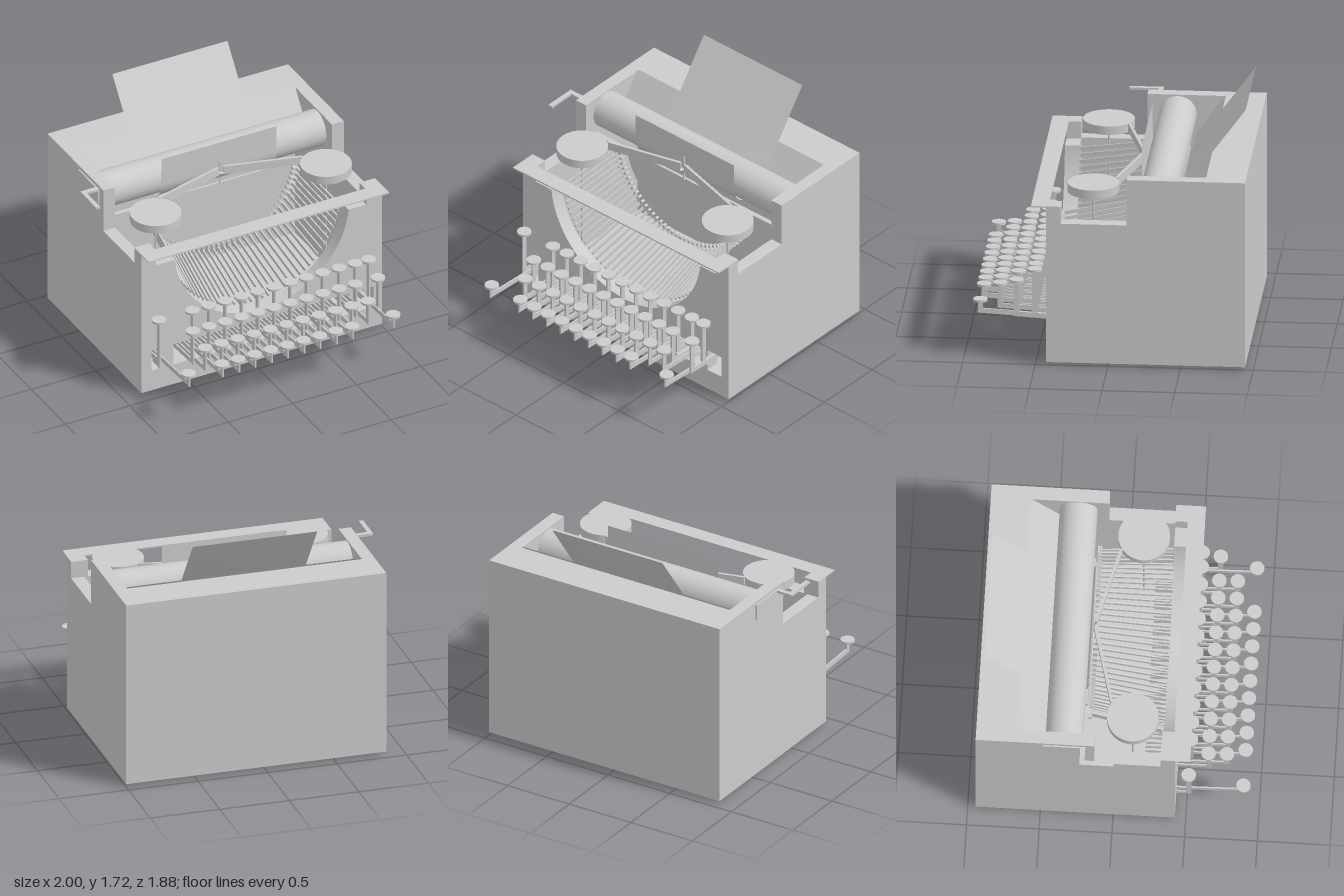
import * as THREE from 'three';

const grey = new THREE.MeshStandardMaterial({ color: 0xcccccc, side: THREE.DoubleSide });
const CX = 0.065; // middle of the body
const X0 = -0.87, X1 = 1.0; // outer side faces
const IN0 = -0.78, IN1 = 0.907; // inner side faces

export function createModel() {
  const root = new THREE.Group();
  root.name = 'typewriter';

  const add = (name, geo, parent = root) => {
    const m = new THREE.Mesh(geo, grey);
    m.name = name;
    parent.add(m);
    return m;
  };
  const group = (name) => {
    const g = new THREE.Group();
    g.name = name;
    root.add(g);
    return g;
  };
  // box given by its limits
  const box = (name, x0, x1, y0, y1, z0, z1, parent) => {
    const g = new THREE.BoxGeometry(x1 - x0, y1 - y0, z1 - z0);
    g.translate((x0 + x1) / 2, (y0 + y1) / 2, (z0 + z1) / 2);
    return add(name, g, parent);
  };
  const cyl = (name, r, h, x, y, z, parent, seg = 32) => {
    const m = add(name, new THREE.CylinderGeometry(r, r, h, seg), parent);
    m.position.set(x, y, z);
    return m;
  };
  // thin bar from a to b
  const strut = (name, a, b, w, h, parent) => {
    const m = add(name, new THREE.BoxGeometry(w, h, a.distanceTo(b)), parent);
    m.position.copy(a).add(b).multiplyScalar(0.5);
    m.lookAt(b);
    return m;
  };
  // thin sheet following a profile of [z, y] points
  const sheet = (name, x0, x1, profile) => {
    const g = new THREE.PlaneGeometry(1, 1, 1, profile.length - 1);
    const p = g.attributes.position;
    for (let i = 0; i < p.count; i++) {
      const [z, y] = profile[i >> 1];
      p.setXYZ(i, i % 2 ? x1 : x0, y, z);
    }
    g.computeVertexNormals();
    return add(name, g);
  };
  const v = (x, y, z) => new THREE.Vector3(x, y, z);

  // stepped side walls
  const side = new THREE.Shape([[-0.945, 0.02], [0.33, 0.02], [0.33, 1.03], [-0.13, 1.03], [-0.13, 1.36], [-0.945, 1.36]]
    .map(([a, b]) => new THREE.Vector2(a, b)));
  for (const [name, x, d] of [['rightWall', IN0, IN0 - X0], ['leftWall', X1, X1 - IN1]]) {
    const g = new THREE.ExtrudeGeometry(side, { depth: d, bevelEnabled: false });
    g.rotateY(-Math.PI / 2);
    add(name, g).position.x = x;
  }

  // thick back and recessed floor
  box('backWall', IN0, IN1, 0.02, 1.36, -0.945, -0.67);
  box('floor', IN0, IN1, 0.15, 0.17, -0.67, 0.33);

  // front wall with the type basket notch and key slots
  const front = new THREE.Shape();
  front.moveTo(X0, 0.02);
  front.lineTo(X1, 0.02);
  front.lineTo(X1, 1.03);
  front.absarc(CX, 1.1, 0.68, -0.103, -Math.PI + 0.103, true);
  front.lineTo(X0, 1.03);
  front.closePath();
  for (const [a, b] of [[-0.62, 0.745], [-0.79, -0.73], [0.81, 0.935]]) {
    const hole = new THREE.Path();
    hole.moveTo(a, 0.18);
    hole.lineTo(a, 0.345);
    hole.lineTo(b, 0.345);
    hole.lineTo(b, 0.18);
    hole.closePath();
    front.holes.push(hole);
  }
  const fg = new THREE.ExtrudeGeometry(front, { depth: 0.1, bevelEnabled: false, curveSegments: 48 });
  add('frontWall', fg).position.z = 0.325;

  // front rail on two corner posts
  box('frontRail', X0, X1, 1.143, 1.153, 0.41, 0.53);
  box('railPost', X0, -0.755, 1.03, 1.153, 0.325, 0.425);
  box('railPost', 0.88, X1, 1.03, 1.153, 0.325, 0.425);

  // half-round plate behind the type bars
  const plate = new THREE.Shape();
  plate.absarc(CX, 1.2, 0.545, -0.185, -Math.PI + 0.185, true);
  plate.closePath();
  const pg = new THREE.ExtrudeGeometry(plate, { depth: 0.015, bevelEnabled: false, curveSegments: 40 });
  add('basketPlate', pg).position.z = -0.215;

  // fan of type bars with type heads
  const basket = group('typeBasket');
  const bars = 44;
  for (let i = 0; i < bars; i++) {
    const a = Math.PI + 0.13 + (Math.PI - 0.26) * i / (bars - 1);
    const c = Math.cos(a), s = Math.sin(a);
    const outer = v(CX + 0.665 * c, 1.1 + 0.665 * s, 0.32);
    const inner = v(CX + 0.6 * c, 1.17 + 0.58 * s, -0.18);
    strut('typeBar', outer, inner, 0.01, 0.025, basket);
    const head = add('typeHead', new THREE.BoxGeometry(0.06, 0.016, 0.03), basket);
    head.position.copy(inner);
    head.rotation.z = a;
  }

  // platen, its shaft and the slanted paper rest
  const platen = add('platen', new THREE.CylinderGeometry(0.13, 0.13, IN1 - IN0, 48));
  platen.rotation.z = Math.PI / 2;
  platen.position.set((IN0 + IN1) / 2, 1.22, -0.34);
  sheet('paperRest', IN0, IN1, [[-0.67, 1.37], [-0.47, 1.09]]);
  box('carriageRail', IN0, IN1, 1.04, 1.07, -0.25, -0.215);

  // paper running under the platen and up in front of it
  const paper = [[-0.91, 1.72], [-0.47, 1.12]];
  for (let i = 0; i <= 8; i++) {
    const a = Math.PI * (1.2 + 0.8 * i / 8);
    paper.push([-0.34 + 0.143 * Math.cos(a), 1.22 + 0.143 * Math.sin(a)]);
  }
  paper.push([-0.195, 1.43]);
  sheet('paper', -0.385, 0.51, paper);

  // carriage return lever
  const lever = group('returnLever');
  box('leverArm', -1, X0 + 0.02, 1.32, 1.337, -0.225, -0.19, lever);
  box('leverHandle', -1, -0.968, 1.32, 1.337, -0.19, 0.01, lever);
  box('leverMount', -0.88, X0, 1.22, 1.335, -0.48, -0.19, lever);

  // ribbon spools, shafts and ribbon leading to the middle
  const ribbon = group('ribbon');
  for (const s of [-1, 1]) {
    const x = CX + s * 0.662;
    cyl('spool', 0.178, 0.062, x, 1.212, 0.12, ribbon, 48);
    cyl('spoolShaft', 0.007, 1.19, x, 0.595, 0.12, ribbon, 12);
    strut('ribbonBand', v(CX + s * 0.56, 1.214, -0.03), v(CX + s * 0.02, 1.214, -0.175), 0.02, 0.062, ribbon);
  }
  box('ribbonGuide', CX - 0.004, CX + 0.004, 1.1, 1.29, -0.19, -0.18, ribbon);
  const tip = add('guideTip', new THREE.ConeGeometry(0.025, 0.04, 4), ribbon);
  tip.rotation.x = Math.PI;
  tip.position.set(CX, 1.18, -0.17);

  // keys: z, top height, first x, count, extra keys
  const keys = group('keyboard');
  const rows = [
    [0.89, 0.415, -0.49, 9, [-0.75, 0.84]],
    [0.765, 0.493, -0.555, 11, []],
    [0.64, 0.569, -0.585, 11, [0.855]],
    [0.515, 0.648, -0.52, 11, [-0.78, 0.85]],
  ];
  for (const [z, y, first, count, extras] of rows) {
    const xs = [...extras];
    for (let i = 0; i < count; i++) xs.push(first + 0.1265 * i);
    for (const x of xs) {
      cyl('keyCap', 0.05, 0.016, x, y - 0.008, z, keys, 24);
      box('keyStem', x - 0.006, x + 0.006, 0.32, y - 0.014, z - 0.018, z + 0.018, keys);
      strut('keyLever', v(x, 0.3 + (z - 0.3) * 0.05, z + 0.018), v(x, 0.29, 0.2), 0.011, 0.035, keys);
    }
  }
  return root;
}
